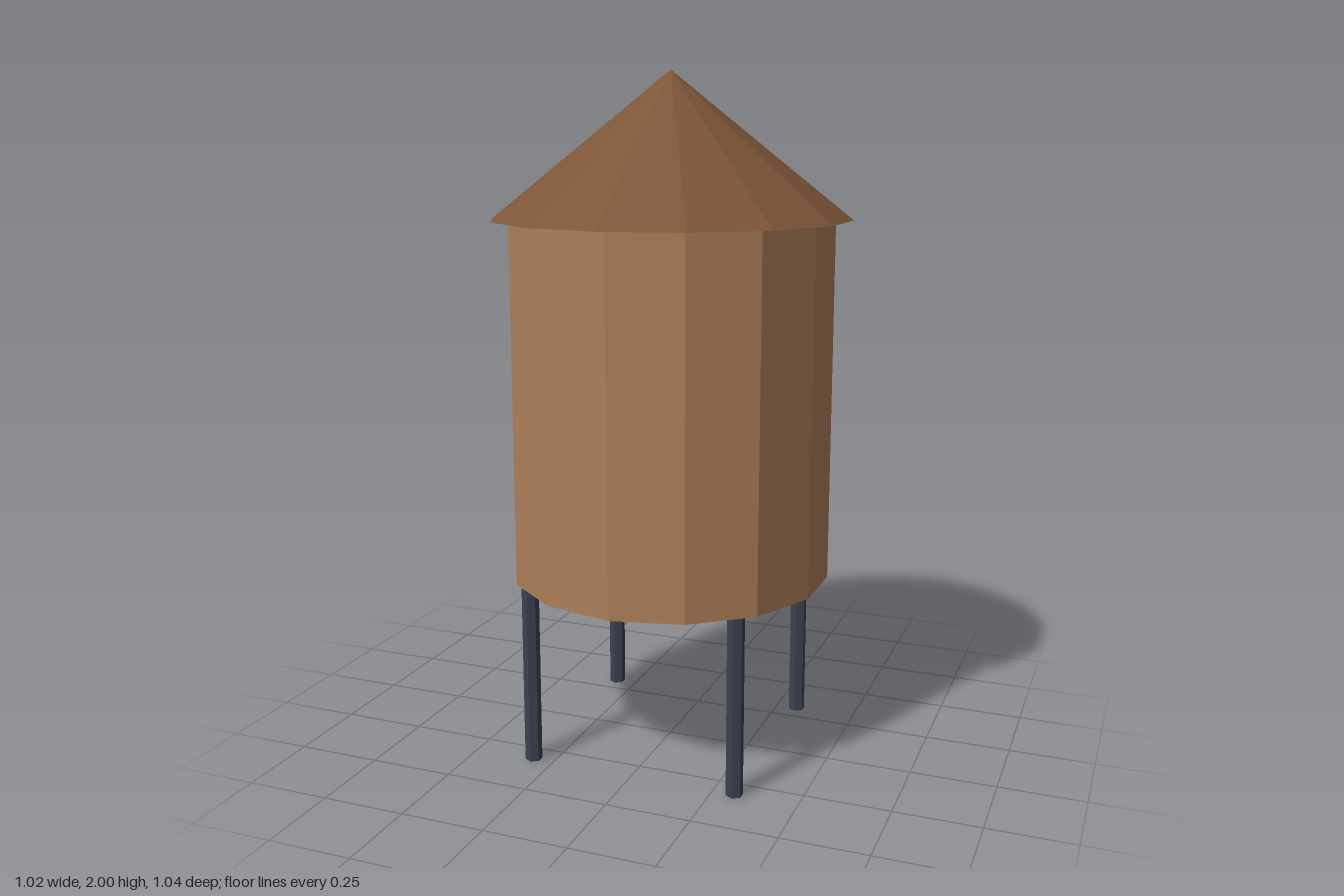
import * as THREE from 'three';

const flat = (name, color) => {
  const m = new THREE.MeshStandardMaterial({ color });
  m.name = name;
  return m;
};

// Cylinder or cone with faceted sides, standing on the given height
function prism(name, rTop, rBottom, bottom, top, sides, material) {
  const geometry = new THREE.CylinderGeometry(rTop, rBottom, top - bottom, sides).toNonIndexed();
  geometry.computeVertexNormals();
  const mesh = new THREE.Mesh(geometry, material);
  mesh.name = name;
  mesh.position.y = (bottom + top) / 2;
  return mesh;
}

export function createModel() {
  const wood = flat('tank wood', 0xad7f5a);
  const shingle = flat('roof brown', 0x7d5539);
  const steel = flat('leg steel', 0x3a4150);

  const model = new THREE.Group();
  model.name = 'waterTower';

  // Tank and overhanging conical roof
  model.add(prism('tank', 0.472, 0.472, 0.53, 1.585, 14, wood));
  model.add(prism('roof', 0, 0.522, 1.585, 2, 14, shingle));

  // Four hexagonal legs under the tank
  const legs = new THREE.Group();
  legs.name = 'legs';
  for (const x of [-1, 1]) {
    for (const z of [-1, 1]) {
      const leg = prism('leg', 0.025, 0.025, 0, 0.53, 6, steel);
      leg.position.x = x * 0.315;
      leg.position.z = z * 0.315;
      legs.add(leg);
    }
  }
  model.add(legs);
  return model;
}
